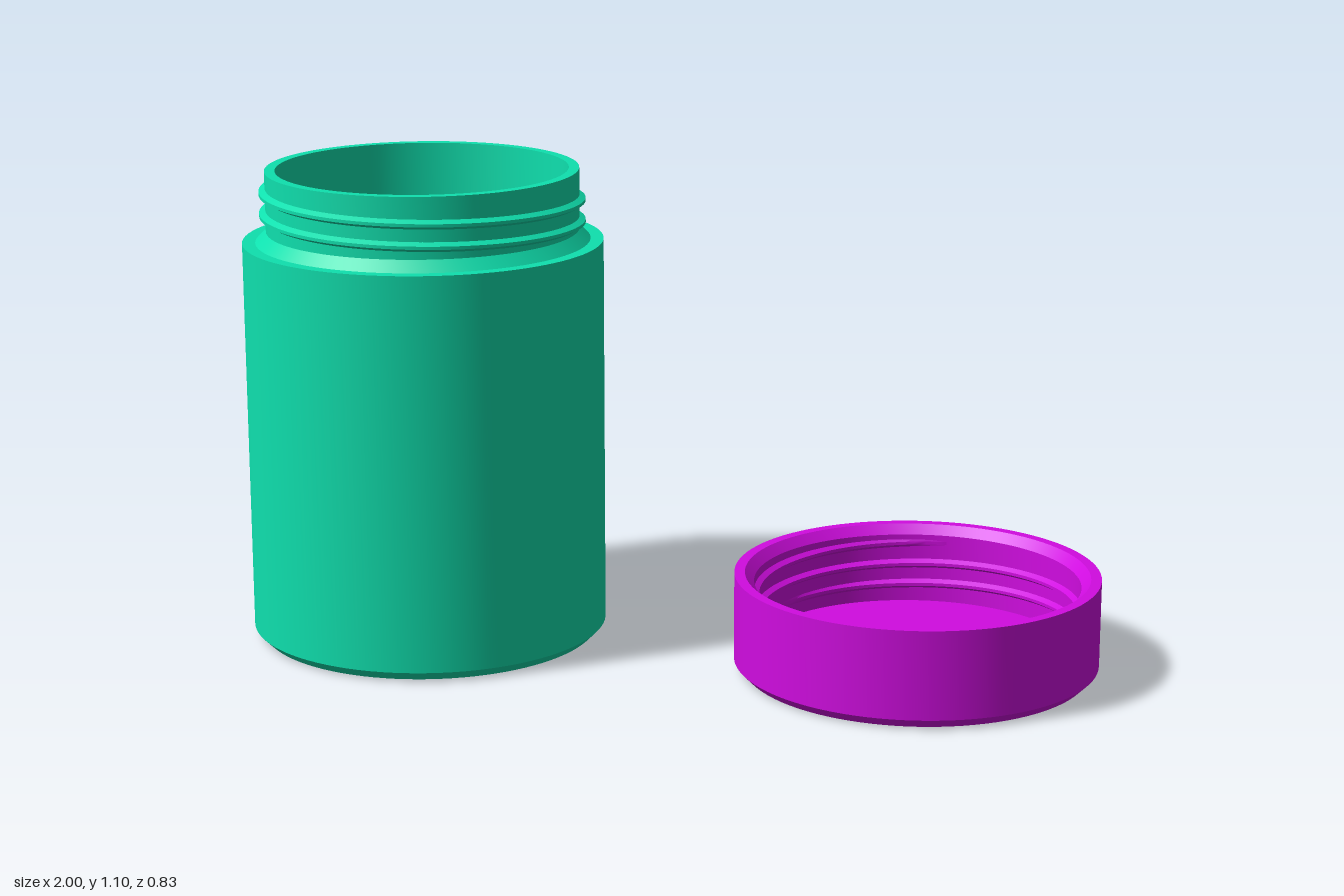
import * as THREE from 'three';
import { toCreasedNormals } from 'three/addons/utils/BufferGeometryUtils.js';
import { ParametricGeometry } from 'three/addons/geometries/ParametricGeometry.js';

const SEGMENTS = 96;

// Revolved solid with crisp profile corners
function turned(name, profile, material) {
  const points = profile.map(([r, y]) => new THREE.Vector2(r, y));
  const geometry = toCreasedNormals(new THREE.LatheGeometry(points, SEGMENTS), 0.5);
  const mesh = new THREE.Mesh(geometry, material);
  mesh.name = name;
  return mesh;
}

// Helical ridge rising `height` from a wall of radius `wall` (negative points inward)
function thread(name, { wall, height, top, pitch, turns, width }, material) {
  // Ridge cross-section: [outward share, vertical share]
  const section = [[-0.15, -0.5], [1, -0.15], [1, 0.15], [-0.15, 0.5]];
  const surface = (u, v, target) => {
    const angle = -Math.PI + u * turns * Math.PI * 2;
    const fade = Math.min(1, u * 14, (1 - u) * 14); // runs out at both ends
    const [out, up] = section[Math.round(v * (section.length - 1))];
    const r = wall + height * (out < 0 ? out : out * fade);
    target.set(r * Math.sin(angle), top - pitch * turns * u + up * width, r * Math.cos(angle));
  };
  const strip = new ParametricGeometry(surface, Math.round(SEGMENTS * turns), section.length - 1);
  const mesh = new THREE.Mesh(toCreasedNormals(strip, 0.5), material);
  mesh.name = name;
  return mesh;
}

export function createModel() {
  const green = new THREE.MeshStandardMaterial({ color: 0x0fe0ae });
  const magenta = new THREE.MeshStandardMaterial({ color: 0xd00ce0 });
  const greenThread = green.clone();
  const magentaThread = magenta.clone();
  greenThread.side = magentaThread.side = THREE.DoubleSide;

  // Jar: chamfered base, straight wall, stepped shoulder, neck and bore
  const jar = new THREE.Group();
  jar.name = 'jar';
  jar.position.x = -0.585;
  jar.add(
    turned('jarBody', [
      [0, 0], [0.393, 0], [0.415, 0.022], [0.415, 0.935], [0.385, 0.935],
      [0.36, 0.96], [0.36, 1.1], [0.336, 1.1], [0.336, 0.04], [0, 0.04],
    ], green),
    thread('neckThread', {
      wall: 0.36, height: 0.014, top: 1.066, pitch: 0.05, turns: 2.2, width: 0.024,
    }, greenThread),
  );

  // Lid: upturned cap with a bevelled mouth
  const lid = new THREE.Group();
  lid.name = 'lid';
  lid.position.x = 0.585;
  lid.add(
    turned('lidShell', [
      [0, 0], [0.393, 0], [0.415, 0.022], [0.415, 0.225], [0.391, 0.225],
      [0.37, 0.204], [0.37, 0.04], [0, 0.04],
    ], magenta),
    thread('lidThread', {
      wall: 0.37, height: -0.012, top: 0.185, pitch: 0.05, turns: 2.2, width: 0.024,
    }, magentaThread),
  );

  const model = new THREE.Group();
  model.name = 'jarAndLid';
  model.add(jar, lid);
  return model;
}
